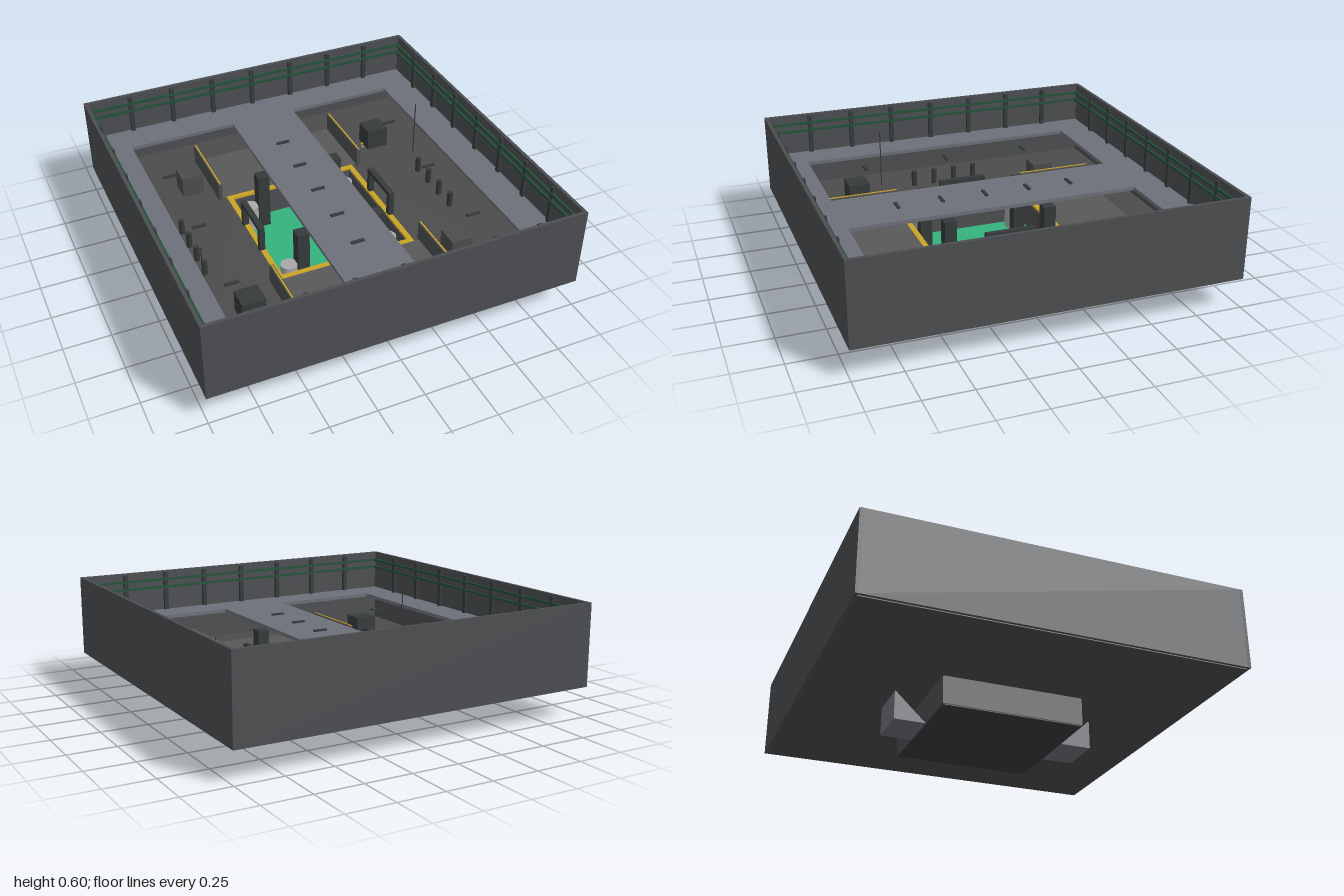
import * as THREE from 'three';

const mat = (color) => new THREE.MeshStandardMaterial({ color });
const M = {
  wall: mat(0x4c4e51), floor: mat(0x4c4c4c), lane: mat(0x585858), deck: mat(0x6d7078), dark: mat(0x363a3b),
  green: mat(0x33b27c), trim: mat(0x24503a), yellow: mat(0xc9a227), light: mat(0xa8a8a8), blue: mat(0x3a6ea5),
};

export function createModel() {
  const root = new THREE.Group();
  const add = (name, geo, m, x = 0, y = 0, z = 0, parent = root) => {
    const mesh = new THREE.Mesh(geo, m);
    mesh.name = name;
    mesh.position.set(x, y, z);
    parent.add(mesh);
    return mesh;
  };
  // Box given by its extents along each axis
  const box = (name, m, x0, x1, y0, y1, z0, z1, parent = root) =>
    add(name, new THREE.BoxGeometry(x1 - x0, y1 - y0, z1 - z0), m,
      (x0 + x1) / 2, (y0 + y1) / 2, (z0 + z1) / 2, parent);
  const rect = (P, a, b = a) => {
    const p = new P();
    p.moveTo(-a, -b); p.lineTo(a, -b); p.lineTo(a, b); p.lineTo(-a, b); p.closePath();
    return p;
  };
  // Flat square frame, outer half size a, inner half size b
  const frame = (name, m, a, b, y0, y1) => {
    const s = rect(THREE.Shape, a);
    s.holes.push(rect(THREE.Path, b));
    const g = new THREE.ExtrudeGeometry(s, { depth: y1 - y0, bevelEnabled: false });
    g.rotateX(-Math.PI / 2);
    return add(name, g, m, 0, y0, 0);
  };

  // Main floor with a square opening over the pit
  frame('mainFloor', M.floor, 0.985, 0.365, 0.155, 0.17);
  frame('pitBorder', M.yellow, 0.39, 0.36, 0.165, 0.176);

  // Sunken pit
  frame('pitWalls', M.wall, 0.38, 0.36, 0.005, 0.16);
  box('pitBase', M.dark, -0.375, 0.375, 0, 0.012, -0.375, 0.375);
  box('pitFloor', M.green, -0.35, 0.35, 0.01, 0.02, -0.35, 0.35);

  // Outer walls, trim and ribs, one side at a time
  for (let i = 0; i < 4; i++) {
    const side = new THREE.Group();
    side.name = 'wallSide';
    side.rotation.y = i * Math.PI / 2;
    root.add(side);
    box('outerWall', M.wall, -0.985, 0.985, 0.16, 0.6, 0.982, 1, side);
    box('cornerPost', M.wall, 0.98, 1, 0.16, 0.6, 0.98, 1, side);
    for (const y of [0.5, 0.545])
      box('wallRail', M.trim, -0.97, 0.97, y, y + 0.014, 0.96, 0.972, side);
    for (let k = -3; k <= 3; k++)
      box('wallRib', M.dark, k * 0.247 - 0.012, k * 0.247 + 0.012, 0.37, 0.59, 0.964, 0.984, side);
  }

  // Raised walkway around the edge and the bridge across
  frame('walkway', M.deck, 0.983, 0.8, 0.35, 0.37);
  box('bridge', M.deck, -0.19, 0.19, 0.35, 0.37, -0.8, 0.8);
  for (let k = -2; k <= 2; k++)
    box('bridgeLamp', M.dark, -0.037, 0.037, 0.37, 0.38, k * 0.246 - 0.008, k * 0.246 + 0.008);

  // Wedge ramps under the floor, front and back
  const wedge = new THREE.Shape([[0.38, 0], [0.55, 0], [0.55, 0.16]].map(p => new THREE.Vector2(...p)));
  for (const s of [1, -1]) {
    const g = new THREE.ExtrudeGeometry(wedge, { depth: 0.24, bevelEnabled: false });
    g.translate(0, 0, -0.12);
    g.rotateY(-s * Math.PI / 2);
    add('accessRamp', g, M.deck);
  }

  // Two halves, each a half turn of the other
  for (const turn of [0, Math.PI]) {
    const half = new THREE.Group();
    half.name = 'arenaHalf';
    half.rotation.y = turn;
    root.add(half);
    const put = (name, m, ...e) => box(name, m, ...e, half);

    for (const s of [1, -1]) {
      // Low divider wall with a yellow stripe, and the paler lane beside it
      const z0 = s > 0 ? 0.375 : -0.8, z1 = s > 0 ? 0.8 : -0.375;
      put('dividerWall', M.wall, 0.417, 0.437, 0.17, 0.28, z0, z1);
      put('dividerStripe', M.yellow, 0.423, 0.431, 0.28, 0.284, z0, z1);
      const l0 = s > 0 ? 0.39 : -0.8, l1 = s > 0 ? 0.8 : -0.39;
      put('lane', M.lane, 0, 0.417, 0.168, 0.174, l0, l1);

      // Bridge pillar and pit column
      put('bridgePillar', M.dark, 0.185, 0.25, 0.02, 0.35, s * 0.277 - 0.033, s * 0.277 + 0.033);
      add('pitColumn', new THREE.CylinderGeometry(0.045, 0.045, 0.14, 24), M.light, 0.29, 0.09, s * 0.277, half);
      put('columnArm', M.dark, 0.25, 0.36, 0.08, 0.1, s * 0.277 - 0.006, s * 0.277 + 0.006);

      // Gate posts
      put('gatePost', M.dark, 0.365, 0.395, 0.17, 0.32, s * 0.12 - 0.015, s * 0.12 + 0.015);
    }
    put('gateLintel', M.dark, 0.365, 0.395, 0.295, 0.32, -0.135, 0.135);

    // Crates
    put('darkCrate', M.dark, 0.55, 0.675, 0.17, 0.29, -0.62, -0.5);
    put('crate', M.floor, 0.49, 0.61, 0.17, 0.29, 0.49, 0.61);
    [[0.53, -0.53, M.yellow], [0.54, -0.56, M.yellow], [0.52, -0.525, M.blue]].forEach(([x, z, m]) =>
      add('smallBall', new THREE.SphereGeometry(0.008, 10, 8), m, x, 0.178, z, half));

    // Bollards and hanging lamps
    for (let k = 0; k < 4; k++)
      add('bollard', new THREE.CylinderGeometry(0.016, 0.016, 0.09, 6), M.dark, 0.72, 0.215, -0.185 + k * 0.123, half);
    for (const z of [-0.49, 0, 0.49])
      put('sideLamp', M.dark, 0.64, 0.715, 0.33, 0.34, z - 0.008, z + 0.008);

    // Thin mast
    add('mast', new THREE.CylinderGeometry(0.003, 0.003, 0.33, 6), M.dark, 0.785, 0.335, -0.37, half);
  }
  return root;
}
